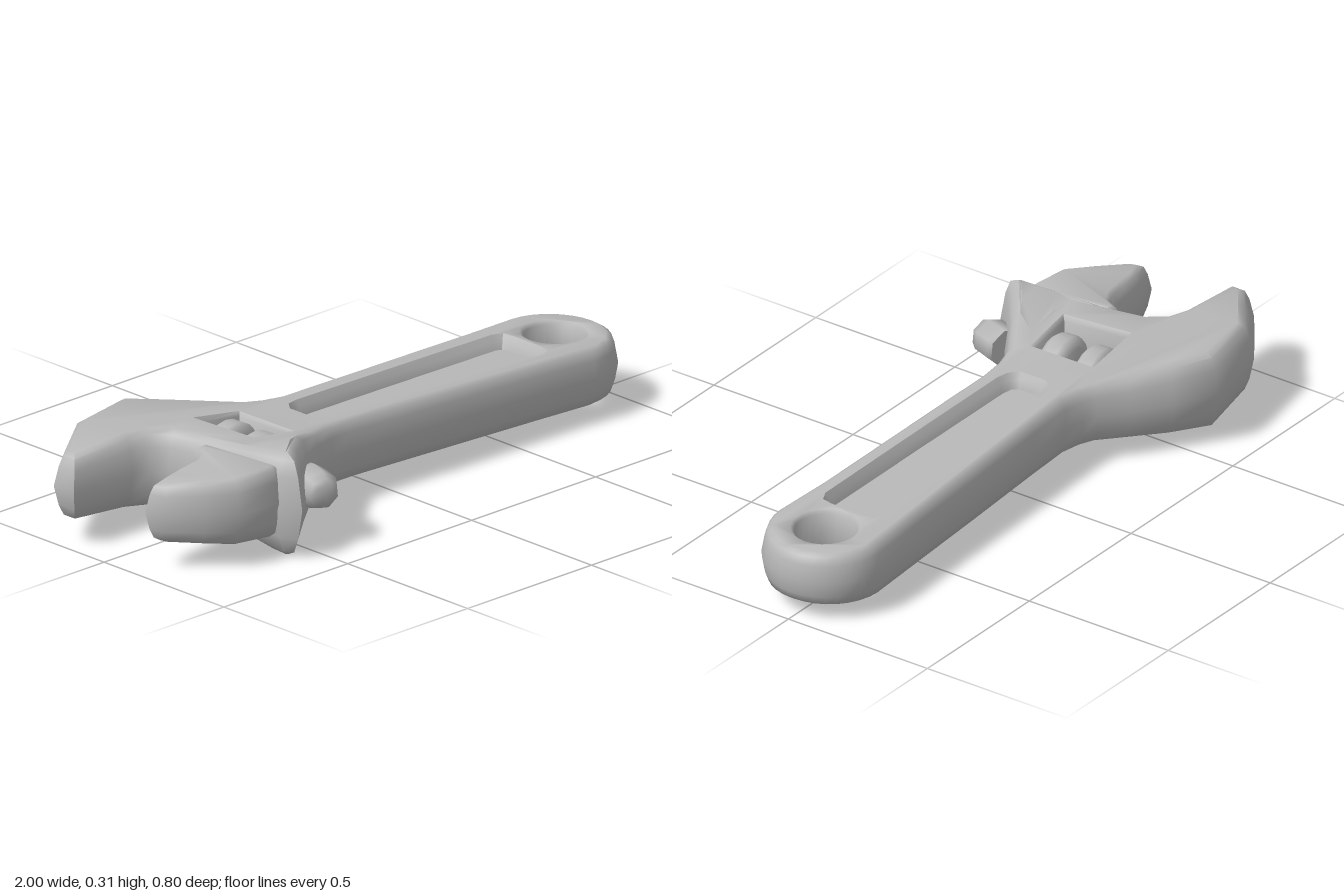
import * as THREE from 'three';
import { toCreasedNormals, mergeVertices } from 'three/addons/utils/BufferGeometryUtils.js';

const steel = new THREE.MeshStandardMaterial({ color: 0xb8b8b8 });
steel.name = 'steel grey';

const lerp = THREE.MathUtils.lerp;

// Piecewise linear lookup through [position, value] pairs
function ramp(pairs, t) {
  if (t <= pairs[0][0]) return pairs[0][1];
  for (let i = 1; i < pairs.length; i++) {
    const [a, va] = pairs[i - 1], [b, vb] = pairs[i];
    if (t <= b) return lerp(va, vb, (t - a) / (b - a));
  }
  return pairs[pairs.length - 1][1];
}

// Turn [x, z] points into a plan loop with the wanted winding
function planLoop(points, clockwise) {
  const loop = points.map(([x, z]) => new THREE.Vector2(x, -z));
  if (THREE.ShapeUtils.isClockWise(loop) !== clockwise) loop.reverse();
  return loop;
}

// Mitred direction into the solid at each corner of a loop
function inwards(loop) {
  const n = loop.length;
  const normal = (a, b) => new THREE.Vector2(a.y - b.y, b.x - a.x).normalize();
  return loop.map((p, i) => {
    const n1 = normal(loop[(i + n - 1) % n], p), n2 = normal(p, loop[(i + 1) % n]);
    return n1.clone().add(n2).divideScalar(Math.max(0.7, 1 + n1.dot(n2)));
  });
}

// Slab with a plan outline and holes, top and bottom heights by rule, edges
// shaped by profiles of [height fraction, inset], and extra points on its faces
function slab({ outline, edge, holes = [], inner = [], top, bottom, edgeScale = () => 1 }) {
  const loops = [planLoop(outline, false), ...holes.map((h) => planLoop(h.points, true))];
  const profiles = [edge, ...holes.map((h) => h.edge)];
  const pos = [], index = [];
  const lower = [], upper = [];
  loops.forEach((loop, l) => {
    const dirs = inwards(loop), n = loop.length, start = pos.length / 3;
    const profile = profiles[l];
    profile.forEach(([t, inset], k) => {
      loop.forEach((p, i) => {
        const d = l ? inset : inset * edgeScale(p.x);
        const x = p.x + dirs[i].x * d, z = -p.y - dirs[i].y * d;
        const id = pos.length / 3;
        pos.push(x, lerp(bottom(x, z), top(x, z), t), z);
        if (k === 0) lower.push(id);
        if (k === profile.length - 1) upper.push(id);
      });
    });
    for (let k = 0; k < profile.length - 1; k++) {
      for (let i = 0; i < n; i++) {
        const j = (i + 1) % n, r = start + k * n;
        index.push(r + i, r + j, r + n + j, r + i, r + n + j, r + n + i);
      }
    }
  });
  for (const [x, z] of inner) {
    lower.push(pos.length / 3);
    upper.push(pos.length / 3 + 1);
    pos.push(x, bottom(x, z), z, x, top(x, z), z);
  }
  // Caps, triangulated on the inset outlines
  const sizes = [...loops.map((loop) => loop.length), ...inner.map(() => 1)];
  for (const [ids, flip] of [[upper, false], [lower, true]]) {
    const flat = ids.map((id) => new THREE.Vector2(pos[id * 3], -pos[id * 3 + 2]));
    let at = 0;
    const rings = sizes.map((size) => flat.slice(at, (at += size)));
    for (const [a, b, c] of THREE.ShapeUtils.triangulateShape(rings[0], rings.slice(1))) {
      if (flip) index.push(ids[a], ids[c], ids[b]);
      else index.push(ids[a], ids[b], ids[c]);
    }
  }
  const geo = new THREE.BufferGeometry();
  geo.setAttribute('position', new THREE.Float32BufferAttribute(pos, 3));
  geo.setIndex(index);
  return toCreasedNormals(geo, 0.85);
}

// Solid of revolution with creased edges
function turned(points, sides) {
  const geo = new THREE.LatheGeometry(points.map(([r, y]) => new THREE.Vector2(r, y)), sides);
  geo.deleteAttribute('uv');
  geo.deleteAttribute('normal');
  return toCreasedNormals(mergeVertices(geo), 0.95);
}

// Arc of [x, z] points
function arc(cx, cz, r, from, to, steps) {
  return Array.from({ length: steps + 1 }, (_, i) => {
    const a = lerp(from, to, i / steps);
    return [cx + r * Math.cos(a), cz + r * Math.sin(a)];
  });
}

export function createModel() {
  const group = new THREE.Group();
  const add = (name, geo) => {
    const mesh = new THREE.Mesh(geo, steel);
    mesh.name = name;
    group.add(mesh);
    return mesh;
  };

  // Height rules: tapering handle, thicker head, thickest boss at the front
  const boss = (x, z) => ramp([[0.14, 0], [0.25, 1]], z) * ramp([[-0.45, 1], [-0.3, 0]], x);
  const bodyTop = (x, z) => {
    const base = ramp([[-1, 0.28], [-0.8, 0.294], [-0.55, 0.3], [-0.36, 0.268], [-0.28, 0.262], [1, 0.222]], x);
    return lerp(base, 0.317, boss(x, z));
  };
  const bodyBottom = (x, z) => {
    const base = ramp([[-1, 0.08], [-0.6, 0.052], [-0.5, 0.05], [-0.3, 0.073], [0.75, 0.047], [1, 0.056]], x);
    return lerp(base, 0.002, boss(x, z));
  };
  const softEdge = [[0, 0.032], [0.05, 0.018], [0.2, 0.009], [0.5, 0], [0.8, 0.009], [0.95, 0.018], [1, 0.032]];
  const holeEdge = [[0, 0.01], [0.06, 0], [0.94, 0], [1, 0.01]];
  const recessEdge = [[0, 0.012], [0.1, 0], [0.32, -0.018], [0.68, -0.018], [0.9, 0], [1, 0.012]];

  // Body: fixed jaw, head and handle in one outline
  const outline = [
    [-1, -0.125], [-1, -0.21], [-0.9, -0.285], [-0.795, -0.36], [-0.565, -0.4], [-0.45, -0.325],
    [-0.345, -0.25], [-0.265, -0.187], [-0.22, -0.165], [-0.16, -0.152], [0, -0.157], [0.3, -0.17], [0.6, -0.181],
    ...arc(0.808, 0, 0.192, -1.6, 1.6, 16),
    [0.6, 0.178], [0.3, 0.17], [0, 0.162], [-0.15, 0.157], [-0.23, 0.163], [-0.3, 0.183], [-0.41, 0.255],
    [-0.5, 0.327], [-0.585, 0.398], [-0.622, 0.333], [-0.64, 0.2], [-0.655, 0.08],
    [-0.67, 0], [-0.682, -0.06], [-0.715, -0.1], [-0.77, -0.118],
  ];
  const slot = [[-0.527, -0.097], [-0.36, -0.097], [-0.357, 0.107], [-0.508, 0.112]];
  const eye = arc(0.818, 0, 0.092, 0, Math.PI * 2 * 23 / 24, 23);
  const recess = [
    [-0.205, -0.03], [-0.185, -0.055], [-0.15, -0.063], [0.25, -0.077], [0.66, -0.09], [0.685, -0.08],
    [0.69, -0.05], [0.69, 0.06], [0.685, 0.09], [0.66, 0.102], [0.25, 0.092], [-0.15, 0.08], [-0.185, 0.072], [-0.205, 0.05],
  ];
  add('body', slab({
    outline, edge: softEdge,
    holes: [{ points: slot, edge: holeEdge }, { points: eye, edge: holeEdge }, { points: recess, edge: recessEdge }],
    inner: [[-0.59, 0.15], [-0.5, 0.155], [-0.4, 0.15], [-0.57, 0.26], [-0.49, 0.25]],
    top: bodyTop, bottom: bodyBottom,
    edgeScale: (x) => ramp([[-0.45, 1.5], [-0.25, 1]], x),
  }));

  // Web closing the handle recess from both sides
  const middle = (x) => (bodyTop(x, 0) + bodyBottom(x, 0)) / 2;
  add('handleWeb', slab({
    outline: recess, edge: [[0, -0.006], [1, -0.006]],
    top: (x) => middle(x) + 0.05, bottom: (x) => middle(x) - 0.05,
  }));

  // Sliding jaw, set into the head
  add('slidingJaw', slab({
    outline: [
      [-0.955, 0.125], [-0.87, 0.103], [-0.8, 0.09], [-0.735, 0.083], [-0.7, 0.065], [-0.675, 0.02], [-0.61, 0.02],
      [-0.58, 0.32], [-0.62, 0.336], [-0.77, 0.325], [-0.85, 0.262], [-0.935, 0.187],
    ],
    edge: softEdge,
    top: (x) => ramp([[-0.96, 0.268], [-0.65, 0.285]], x),
    bottom: (x) => ramp([[-0.96, 0.092], [-0.65, 0.066]], x),
  }));

  // Two rounded rings of the adjusting worm
  for (const [z, h] of [[-0.055, 0.042], [0.068, 0.045]]) {
    const ring = add('wormRing', turned([
      [0, -h], [0.07, -h], [0.09, -h + 0.01], [0.1, -0.02],
      [0.1, 0.02], [0.09, h - 0.01], [0.07, h], [0, h],
    ], 20));
    ring.rotation.set(Math.PI / 2, 0, -0.06);
    ring.position.set(-0.437, 0.172, z);
  }

  // Worm pin head on the front of the boss
  const pin = add('pinHead', turned([
    [0, 0], [0.058, 0], [0.062, 0.02], [0.06, 0.08], [0.047, 0.108], [0.03, 0.116], [0, 0.118],
  ], 7));
  pin.quaternion.setFromUnitVectors(new THREE.Vector3(0, 1, 0), new THREE.Vector3(-0.33, 0, 1).normalize());
  pin.position.set(-0.432, 0.174, 0.264);

  return group;
}
